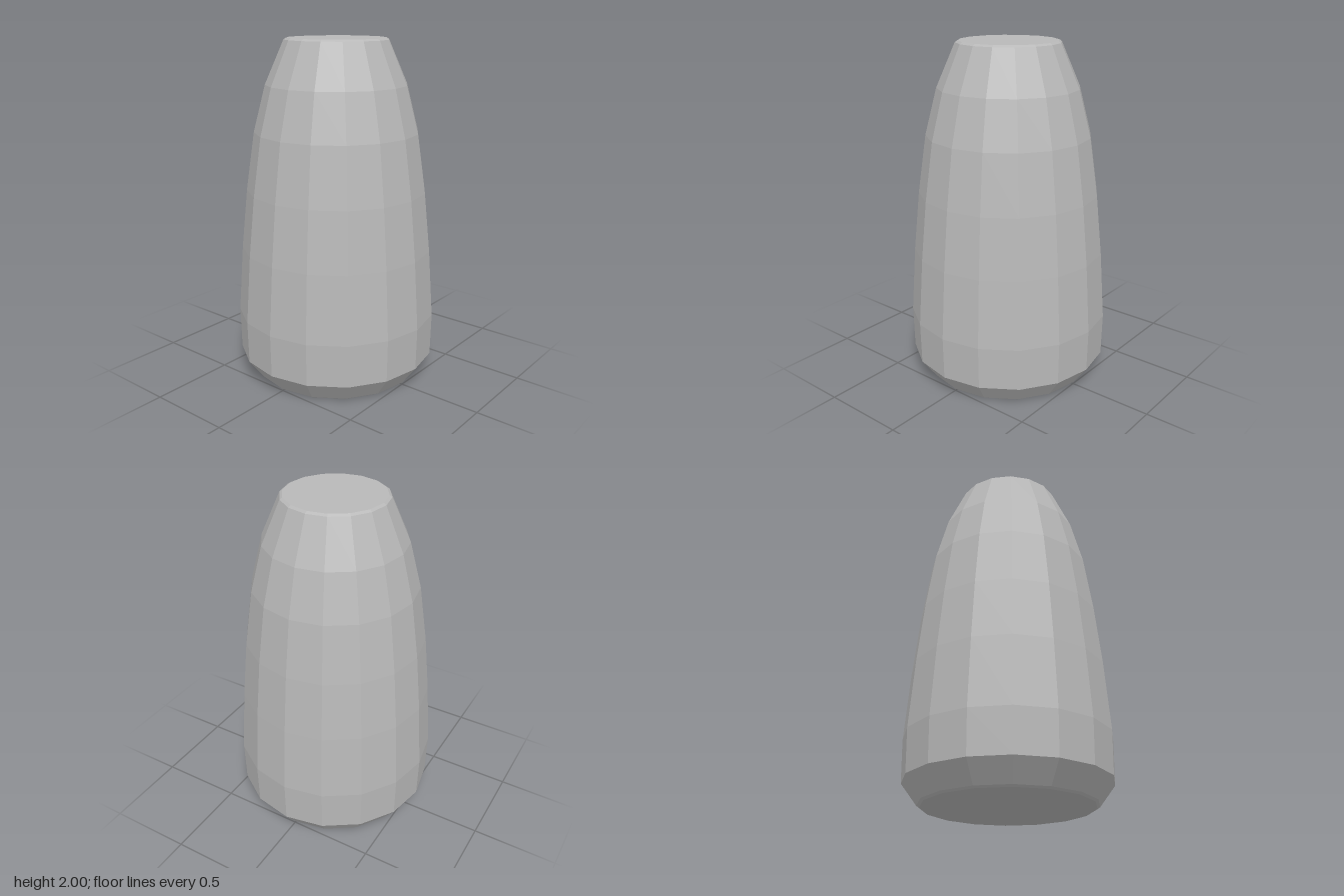
import * as THREE from 'three';

const SIDES = 16;

export function createModel() {
  const group = new THREE.Group();
  group.name = 'taperedVessel';
  const grey = new THREE.MeshStandardMaterial({ color: 0xb8b8b8, flatShading: true });
  grey.name = 'plain grey';

  // Radius and height of each ring, from the base to the top rim
  const profile = [
    [0.485, 0], [0.5, 0.01], [0.59, 0.13], [0.595, 0.38], [0.566, 0.78], [0.53, 1.13],
    [0.48, 1.47], [0.41, 1.74], [0.3, 1.99], [0.285, 2],
  ].map(([r, y]) => new THREE.Vector2(r, y));

  const add = (name, geometry) => {
    const flat = geometry.toNonIndexed();
    flat.computeVertexNormals();
    const mesh = new THREE.Mesh(flat, grey);
    mesh.name = name;
    group.add(mesh);
  };

  // Faceted wall with bevelled foot and rim
  add('body', new THREE.LatheGeometry(profile, SIDES));

  // Flat end faces
  add('topFace', new THREE.CircleGeometry(0.285, SIDES).rotateX(-Math.PI / 2).translate(0, 2, 0));
  add('baseFace', new THREE.CircleGeometry(0.485, SIDES).rotateX(Math.PI / 2));

  return group;
}
